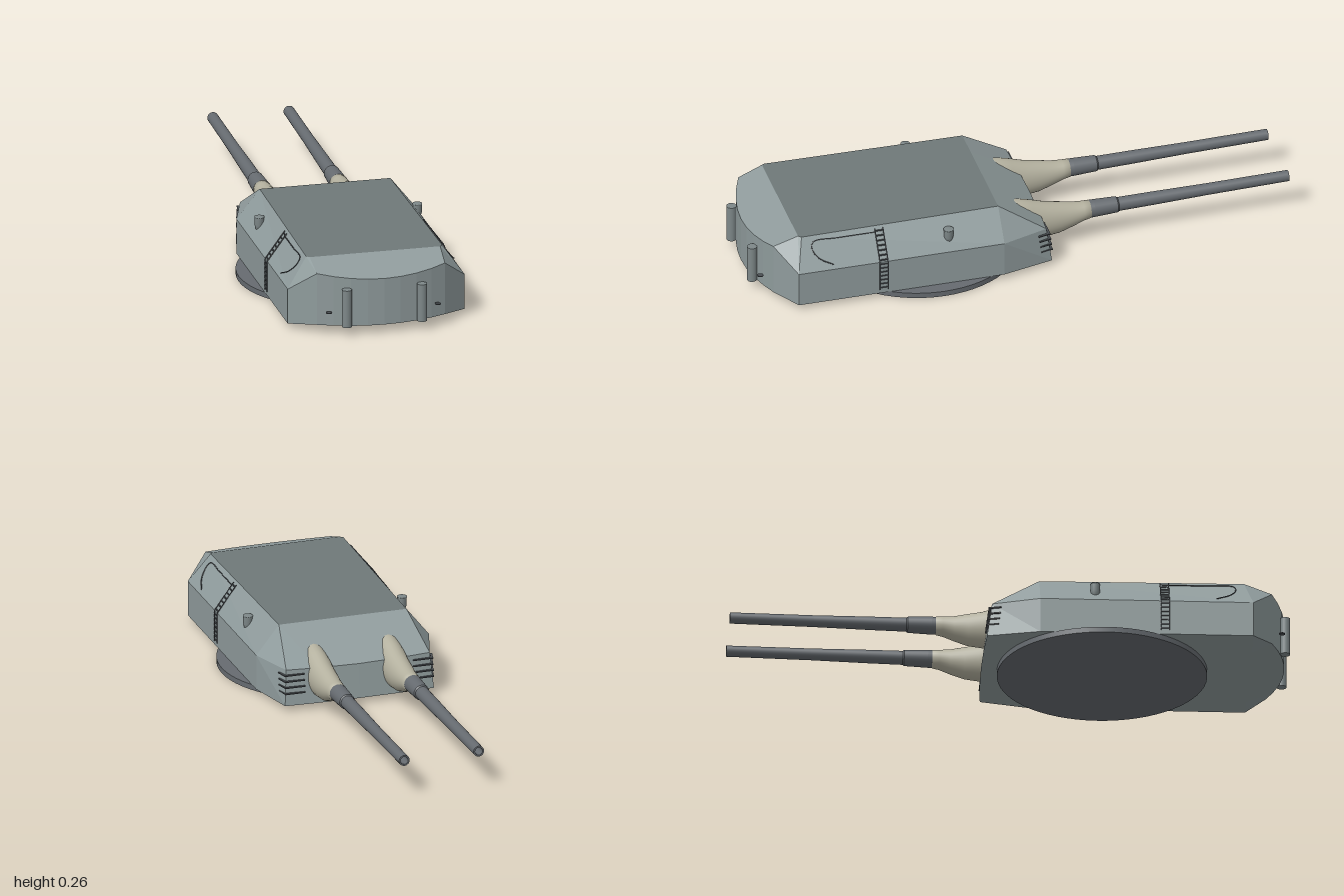
import * as THREE from 'three';

const mat = (color, flatShading = false) =>
  new THREE.MeshStandardMaterial({ color, flatShading, side: THREE.DoubleSide });
const HULL = mat(0x8f9b9c, true), ROOF = mat(0x6f7979, true), STEEL = mat(0x666b70);
const DARK = mat(0x4a4e52, true), CANVAS = mat(0xb4b19f), FITTING = mat(0x7e8889);

function add(parent, name, geometry, material, x = 0, y = 0, z = 0) {
  const mesh = new THREE.Mesh(geometry, material);
  mesh.name = name;
  mesh.position.set(x, y, z);
  parent.add(mesh);
  return mesh;
}

// Skin joining closed rings of [x, y, z] points
function loft(rings) {
  const n = rings[0].length, index = [];
  for (let r = 0; r < rings.length - 1; r++) {
    for (let i = 0; i < n; i++) {
      const j = (i + 1) % n, a = r * n + i, b = r * n + j, c = b + n, d = a + n;
      index.push(a, c, b, a, d, c);
    }
  }
  const g = new THREE.BufferGeometry();
  g.setAttribute('position', new THREE.Float32BufferAttribute(rings.flat(2), 3));
  g.setIndex(index);
  g.computeVertexNormals();
  return g;
}

// Flat fan closing a ring, facing up or down
function cap(ring, up) {
  const n = ring.length, index = [];
  for (let i = 0; i < n; i++) {
    const j = (i + 1) % n;
    index.push(n, ...(up ? [j, i] : [i, j]));
  }
  const g = new THREE.BufferGeometry();
  g.setAttribute('position', new THREE.Float32BufferAttribute([...ring, [0, ring[0][1], 0.45]].flat(), 3));
  g.setIndex(index);
  g.computeVertexNormals();
  return g;
}

// Half-plan stations from front centre to rear centre: [lower, shoulder, roof]
function stations() {
  const list = [
    [[0, 0.02, -0.097], [0, 0.145, -0.08], [0, 0.257, 0.1]],
    [[0.15, 0.02, -0.095], [0.15, 0.147, -0.077], [0.13, 0.257, 0.1]],
    [[0.28, 0.02, -0.088], [0.27, 0.15, -0.07], [0.24, 0.257, 0.1]],
    [[0.325, 0.02, 0.1], [0.325, 0.15, 0.1], [0.24, 0.257, 0.1]],
    [[0.325, 0.02, 0.86], [0.325, 0.15, 0.86], [0.25, 0.257, 0.83]],
  ];
  for (const x of [0.235, 0.18, 0.12, 0.06, 0]) {
    const z = 0.985 - 0.055 * (x / 0.235) ** 2;
    list.push([[x, 0.032, z], [x, 0.257 - (z - 0.84) * 0.35, z], [x * 1.02, 0.257, 0.84]]);
  }
  return list;
}

function ring(half, level) {
  const right = half.map(s => s[level]);
  const left = right.slice(1, -1).reverse().map(([x, y, z]) => [-x, y, z]);
  return [...right, ...left];
}

function buildHull(parent) {
  const half = stations();
  const [lower, shoulder, roof] = [0, 1, 2].map(l => ring(half, l));
  const floor = lower.map(([x, , z]) => [x, 0.02, Math.min(z, 0.86)]);
  add(parent, 'armourWalls', loft([floor, lower, shoulder, roof]), HULL);
  add(parent, 'roofPlate', cap(roof, true), ROOF);
  add(parent, 'floorPlate', cap(floor, false), HULL);
}

// Gun barrel with stepped sleeve and hollow muzzle, pointing to -z
function buildGun(parent, x) {
  const gun = new THREE.Group();
  gun.name = 'gun';
  gun.position.x = x;
  parent.add(gun);
  const profile = [[0.032, 0], [0.032, 0.08], [0.029, 0.165], [0.025, 0.17], [0.024, 0.3],
    [0.021, 0.5], [0.02, 0.8], [0.014, 0.8], [0.014, 0.72], [0, 0.72]];
  // Repeated corners keep the steps crisp
  const pts = profile.flatMap(([r, d]) => [new THREE.Vector2(r, d), new THREE.Vector2(r, d)]);
  const barrel = add(gun, 'barrel', new THREE.LatheGeometry(pts, 24).rotateX(-Math.PI / 2), STEEL, 0, 0.119, -0.2);
  barrel.rotation.x = 0.02;

  // Canvas bag: elliptical sections [z, centre y, half width, half height]
  const sections = [[0.04, 0.125, 0.05, 0.078], [0, 0.123, 0.051, 0.081], [-0.05, 0.114, 0.051, 0.077],
    [-0.1, 0.107, 0.049, 0.068], [-0.15, 0.106, 0.045, 0.06], [-0.2, 0.11, 0.039, 0.046],
    [-0.24, 0.117, 0.035, 0.036], [-0.265, 0.12, 0.033, 0.033], [-0.266, 0.12, 0.02, 0.02]];
  const rings = sections.map(([z, cy, rx, ry]) => Array.from({ length: 28 }, (_, i) => {
    const a = (i / 28) * Math.PI * 2;
    return [rx * Math.sin(a), cy - ry * Math.cos(a), z];
  }));
  add(gun, 'blastBag', loft(rings), CANVAS);
}

function tube(points, radius, segments = 12) {
  const curve = new THREE.CurvePath();
  const v = points.map(p => new THREE.Vector3(...p));
  for (let i = 0; i < v.length - 1; i++) curve.add(new THREE.LineCurve3(v[i], v[i + 1]));
  return new THREE.TubeGeometry(curve, segments, radius, 5);
}

// Fittings on one side; s is +1 for left, -1 for right
function buildSideFittings(parent, s) {
  // Ladder following the wall and the sloped upper plate
  const ladder = new THREE.Group();
  ladder.name = 'ladder';
  parent.add(ladder);
  for (const z of [0.53, 0.56]) {
    add(ladder, 'ladderRail', tube([[s * 0.327, 0.035, z], [s * 0.327, 0.15, z], [s * 0.254, 0.25, z]], 0.002, 24), DARK);
  }
  for (let i = 0; i < 7; i++) {
    const t = (i + 0.5) / 7;
    add(ladder, 'ladderRung', new THREE.BoxGeometry(0.004, 0.004, 0.03), DARK, s * 0.327, 0.035 + 0.115 * t, 0.545);
    add(ladder, 'ladderRung', new THREE.BoxGeometry(0.004, 0.004, 0.03), DARK, s * (0.327 - 0.073 * t), 0.15 + 0.1 * t, 0.545);
  }

  // Handrail along the roof edge, curving down the slope
  const rail = new THREE.CatmullRomCurve3([[0.262, 0.241, 0.56], [0.262, 0.241, 0.7], [0.263, 0.24, 0.79],
    [0.275, 0.222, 0.8], [0.3, 0.19, 0.78], [0.318, 0.166, 0.73]].map(([x, y, z]) => new THREE.Vector3(s * x, y, z)));
  add(parent, 'handrail', new THREE.TubeGeometry(rail, 30, 0.002, 5), DARK);

  // Sight hood with a tapered foot
  const hood = [[0, 0.165], [0.011, 0.172], [0.017, 0.195], [0.017, 0.222], [0.018, 0.222], [0.018, 0.226], [0, 0.226]];
  add(parent, 'sightHood', new THREE.LatheGeometry(hood.map(p => new THREE.Vector2(...p)), 16), FITTING, s * 0.29, 0, 0.297);

  // Slats wrapping the front corner
  for (let i = 0; i < 4; i++) {
    const y = 0.065 + i * 0.022;
    const z = -0.088 + 0.018 * (y - 0.02) / 0.13;
    add(parent, 'frontSlat', new THREE.BoxGeometry(0.075, 0.004, 0.014), DARK, s * 0.242, y, z - 0.003);
    const side = add(parent, 'sideSlat', new THREE.BoxGeometry(0.008, 0.004, 0.04), DARK, s * 0.281, y, z + 0.016);
    side.rotation.y = s * 0.25;
  }

  // Rear post and small step
  add(parent, 'rearPost', new THREE.CylinderGeometry(0.018, 0.018, 0.14, 20), FITTING, s * 0.138, 0.105, 0.982);
  add(parent, 'rearStep', new THREE.CylinderGeometry(0.011, 0.011, 0.003, 12), DARK, s * 0.2, 0.088, 0.968);
}

export function createModel() {
  const turret = new THREE.Group();
  turret.name = 'gunTurret';
  add(turret, 'baseRing', new THREE.CylinderGeometry(0.375, 0.375, 0.02, 64), STEEL, 0, 0.01, 0.335);
  buildHull(turret);
  for (const s of [1, -1]) {
    buildGun(turret, s * 0.14);
    buildSideFittings(turret, s);
  }
  return turret;
}
